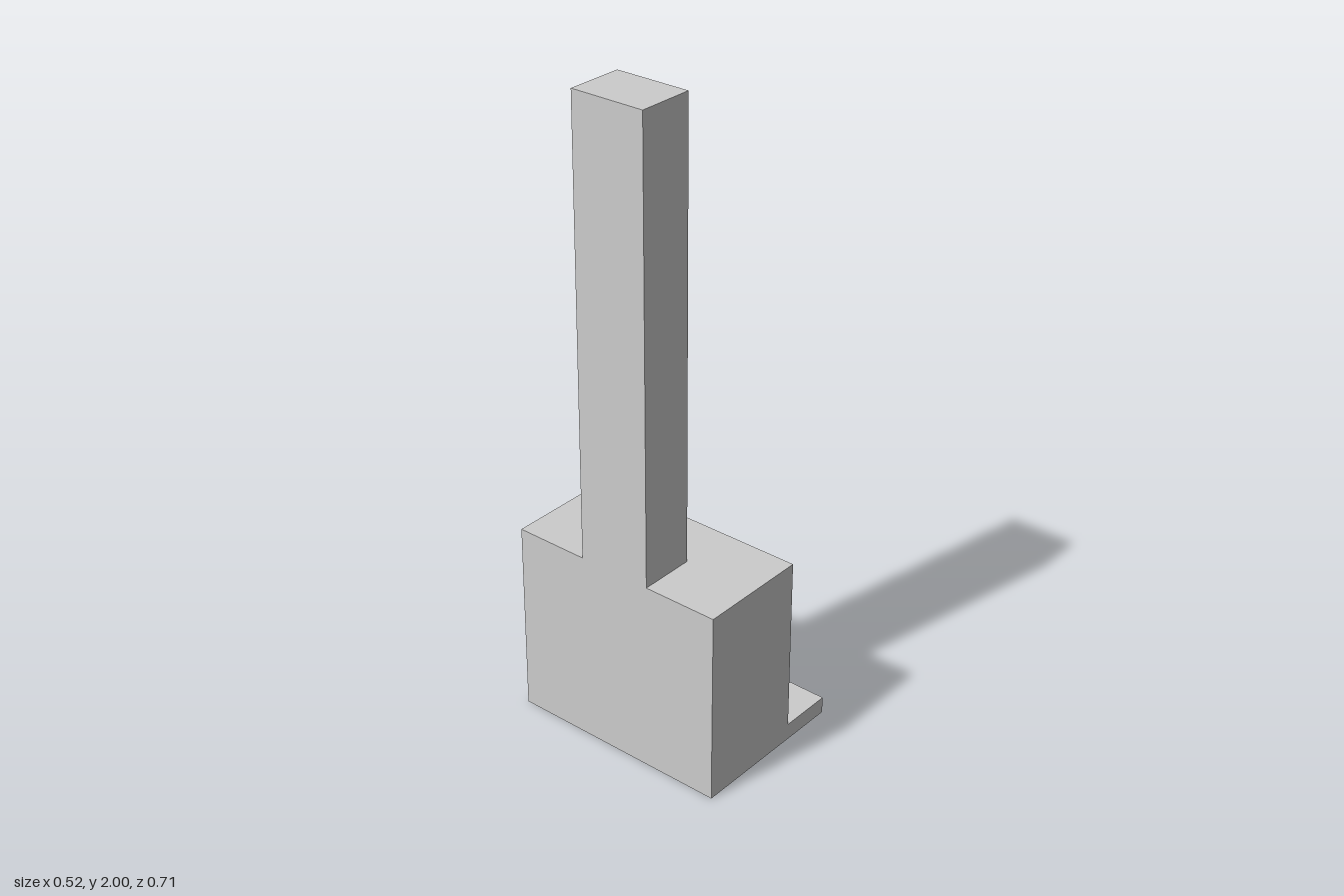
import * as THREE from 'three';

const material = new THREE.MeshStandardMaterial({ color: 0xcccccc });

function add(parent, name, geometry) {
  const mesh = new THREE.Mesh(geometry, material);
  mesh.name = name;
  parent.add(mesh);
  return mesh;
}

// Box given by its two opposite corners
function block(parent, name, [x0, y0, z0], [x1, y1, z1]) {
  const mesh = add(parent, name, new THREE.BoxGeometry(x1 - x0, y1 - y0, z1 - z0));
  mesh.position.set((x0 + x1) / 2, (y0 + y1) / 2, (z0 + z1) / 2);
}

// Slightly tapered round log between two points
function log(parent, name, a, b, radius, taper = 0.9) {
  const start = new THREE.Vector3(...a);
  const end = new THREE.Vector3(...b);
  const axis = end.clone().sub(start);
  const mesh = add(parent, name, new THREE.CylinderGeometry(radius * taper, radius, axis.length(), 20));
  mesh.position.copy(start).add(end).multiplyScalar(0.5);
  mesh.quaternion.setFromUnitVectors(new THREE.Vector3(0, 1, 0), axis.normalize());
}

export function createModel() {
  const model = new THREE.Group();
  model.name = 'fireplace';
  const back = -0.262, front = 0.092, inner = -0.18, half = 0.354;

  // Hearth slab under the whole fireplace
  block(model, 'hearthSlab', [back, 0, -half], [0.262, 0.053, half]);

  // Firebox: a rectangular ring swept in x, closed by a back wall
  const ring = new THREE.Shape();
  ring.moveTo(-half, 0.053).lineTo(half, 0.053).lineTo(half, 0.61).lineTo(-half, 0.61).closePath();
  const opening = new THREE.Path();
  opening.moveTo(-0.3, 0.09).lineTo(-0.3, 0.557).lineTo(0.3, 0.557).lineTo(0.3, 0.09).closePath();
  ring.holes.push(opening);
  const surround = add(model, 'fireboxSurround',
    new THREE.ExtrudeGeometry(ring, { depth: front - inner, bevelEnabled: false }));
  surround.rotation.y = Math.PI / 2;
  surround.position.x = inner;
  block(model, 'fireboxBack', [back, 0.053, -half], [inner, 0.61, half]);

  // Chimney flush with the back
  block(model, 'chimney', [back, 0.61, -0.118], [-0.087, 2, 0.118]);

  // Pile of firewood: start, end, radius
  const pile = new THREE.Group();
  pile.name = 'firewood';
  model.add(pile);
  const logs = [
    [[0.02, 0.13, 0.15], [0.04, 0.13, -0.05], 0.031],
    [[-0.04, 0.14, -0.08], [0.03, 0.14, -0.245], 0.038],
    [[-0.07, 0.195, -0.03], [0.05, 0.14, -0.135], 0.035],
    [[0.01, 0.222, 0.13], [0.0, 0.155, 0.03], 0.021],
    [[-0.03, 0.23, -0.1], [-0.06, 0.14, -0.16], 0.015],
    [[0.01, 0.13, 0.235], [-0.1, 0.15, 0.08], 0.029],
    [[0.01, 0.185, 0.19], [-0.1, 0.16, 0.13], 0.021],
    [[-0.1, 0.185, 0.1], [-0.05, 0.185, -0.05], 0.024],
    [[-0.12, 0.16, 0.0], [0.04, 0.175, 0.015], 0.024],
    [[0.0, 0.165, 0.165], [-0.08, 0.165, 0.02], 0.03],
    [[-0.13, 0.13, 0.18], [-0.12, 0.13, -0.17], 0.035],
    [[-0.06, 0.125, 0.05], [-0.06, 0.125, -0.2], 0.032],
    [[-0.08, 0.12, -0.02], [0.05, 0.12, -0.058], 0.019],
  ];
  logs.forEach(([a, b, r], i) => log(pile, `log${i + 1}`, a, b, r));

  // Short twig stubs that prop the pile off the floor
  for (const [x, z] of [[0.03, 0.2], [0.05, 0.085], [0.05, -0.095], [0.03, -0.205]]) {
    log(pile, 'twigStub', [x, 0.088, z], [x - 0.02, 0.125, z], 0.007);
  }
  return model;
}
